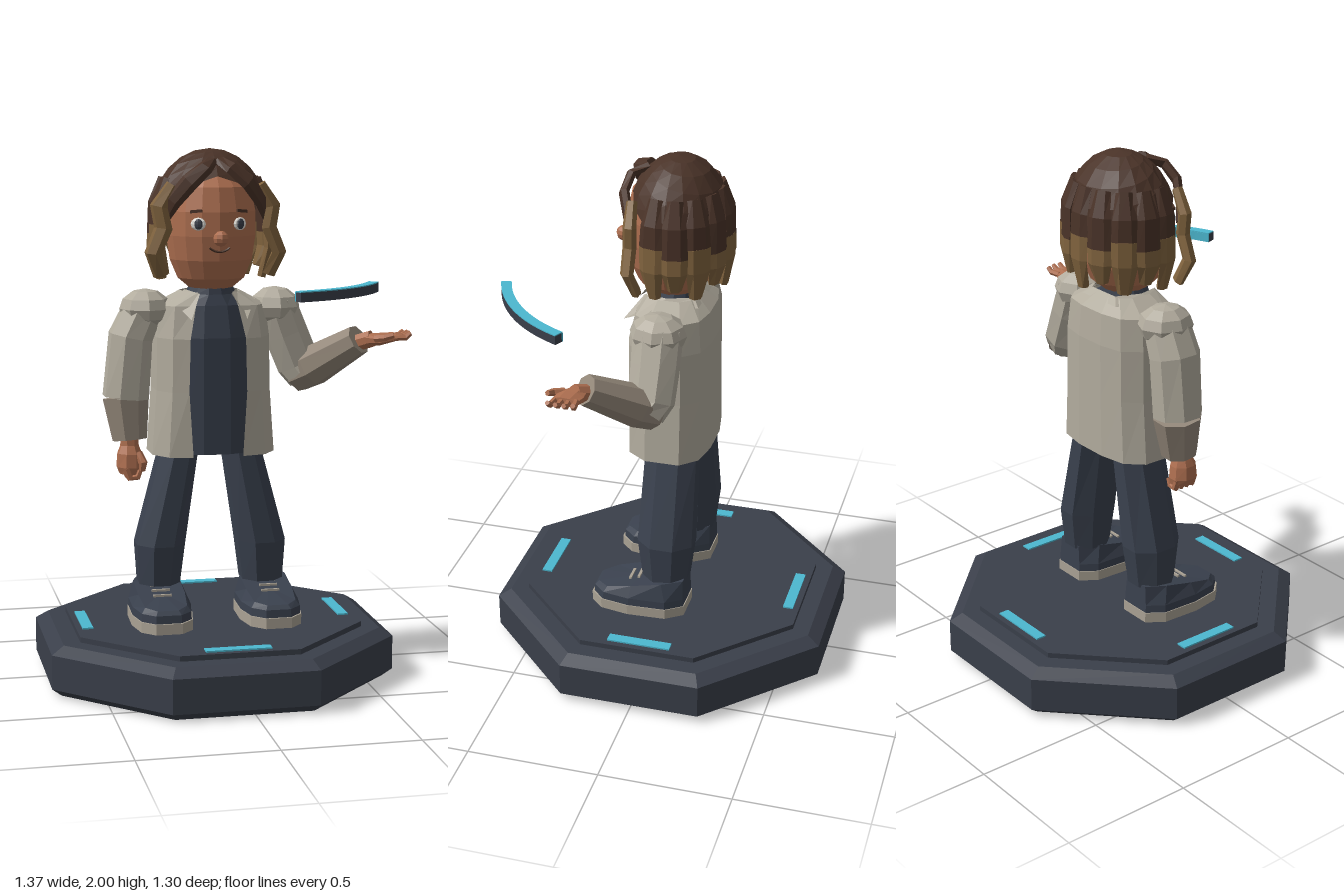
import * as THREE from 'three';

const mat = (name, color, side = THREE.FrontSide) => {
  const m = new THREE.MeshStandardMaterial({ color, side });
  m.name = name;
  return m;
};
const M = {
  skin: mat('skin', 0xae6f50),
  hair: mat('darkHair', 0x4a3328, THREE.DoubleSide),
  tips: mat('hairTips', 0x80633e, THREE.DoubleSide),
  coat: mat('coatCloth', 0xb2ac9e, THREE.DoubleSide),
  sleeve: mat('sleeveCloth', 0x94887a),
  navy: mat('navyCloth', 0x3a414e),
  slate: mat('slate', 0x3a3f4a),
  cyan: mat('cyanLight', 0x4cb8d0),
  sole: mat('soleRubber', 0xaaa294),
  white: mat('eyeWhite', 0xe4e2dc),
};
const V = (x, y, z) => new THREE.Vector3(x, y, z);

// Faceted surface through rings of points (counter-clockwise about the loft direction)
function loft(rings, closed = true) {
  const pos = [];
  const tri = (...p) => p.forEach(q => pos.push(q.x, q.y, q.z));
  const n = rings[0].length;
  for (let i = 0; i < rings.length - 1; i++) {
    for (let j = 0; j < (closed ? n : n - 1); j++) {
      const k = (j + 1) % n, A = rings[i], B = rings[i + 1];
      tri(A[j], A[k], B[k]);
      tri(A[j], B[k], B[j]);
    }
  }
  if (closed) {
    [rings[0], rings[rings.length - 1]].forEach((r, e) => {
      const c = r.reduce((s, p) => s.add(p), V(0, 0, 0)).divideScalar(n);
      r.forEach((p, j) => { const q = r[(j + 1) % n]; e ? tri(c, p, q) : tri(c, q, p); });
    });
  }
  const g = new THREE.BufferGeometry();
  g.setAttribute('position', new THREE.Float32BufferAttribute(pos, 3));
  return g;
}

// Horizontal elliptical ring
const ringY = (x, y, z, a, b, n = 8) => Array.from({ length: n }, (_, i) => {
  const t = (i + 0.5) / n * Math.PI * 2;
  return V(x + a * Math.cos(t), y, z - b * Math.sin(t));
});

// Tube along points [x, y, z, a, b]; a is the radius along ref, b across it
function limb(pts, sides = 8, ref = V(0, 0, 1)) {
  const P = pts.map(p => V(p[0], p[1], p[2]));
  return loft(P.map((p, i) => {
    const t = P[Math.min(i + 1, P.length - 1)].clone().sub(P[Math.max(i - 1, 0)]).normalize();
    const u = ref.clone().addScaledVector(t, -ref.dot(t)).normalize();
    const v = t.clone().cross(u);
    const a = pts[i][3], b = pts[i][4] ?? a;
    return Array.from({ length: sides }, (_, j) => {
      const w = (j + 0.5) / sides * Math.PI * 2;
      return p.clone().addScaledVector(u, a * Math.cos(w)).addScaledVector(v, b * Math.sin(w));
    });
  }));
}

// Flat ring sector lying level, with its top at y
function sector(r0, r1, a0, a1, y, h) {
  const s = new THREE.Shape();
  s.absarc(0, 0, r1, a0, a1, false);
  s.absarc(0, 0, r0, a1, a0, true);
  return new THREE.ExtrudeGeometry(s, { depth: h, bevelEnabled: false, curveSegments: 12 })
    .rotateX(Math.PI / 2).translate(0, y, 0);
}

export function createModel() {
  const root = new THREE.Group();
  const body = new THREE.Group();
  body.name = 'figureOnBase';
  body.position.x = -0.0375;
  root.add(body);
  const add = (name, geo, material) => {
    const g = geo.index ? geo.toNonIndexed() : geo;
    g.computeVertexNormals();
    const m = new THREE.Mesh(g, material);
    m.name = name;
    body.add(m);
    return m;
  };
  const ball = (x, y, z, rx, ry, rz, w = 8, h = 6) =>
    new THREE.SphereGeometry(1, w, h).scale(rx, ry, rz).translate(x, y, z);

  // Octagonal base with raised plate and light strips
  const oct = (y, ap) => ringY(0, y, 0, ap / Math.cos(Math.PI / 8), ap / Math.cos(Math.PI / 8));
  add('base', loft([oct(0, 0.615), oct(0.03, 0.652), oct(0.16, 0.652), oct(0.19, 0.605)]), M.slate);
  add('basePlate', loft([oct(0.188, 0.54), oct(0.21, 0.54)]), M.slate);
  for (let i = 0; i < 4; i++) {
    add('baseLight', new THREE.BoxGeometry(0.245, 0.008, 0.04).translate(0, 0.212, 0.497).rotateY(i * Math.PI / 2), M.cyan);
  }

  // Floating curved panel
  const a0 = 25 * Math.PI / 180, a1 = 72 * Math.PI / 180;
  add('panel', sector(0.605, 0.638, a0, a1, 1.511, 0.033), M.slate);
  add('panelTopLight', sector(0.6, 0.638, a0, a1, 1.515, 0.004), M.cyan);
  add('panelInnerLight', sector(0.599, 0.605, a0, a1, 1.511, 0.033), M.cyan);

  // Shoes and trouser legs
  const outline = half => [...half, ...half.slice().reverse().map(([x, y, z]) => [-x, y, z])];
  const foot = [[0.05, 0.26], [0.098, 0.21], [0.117, 0.1], [0.11, -0.05], [0.065, -0.115]];
  const top = [[0.04, 0.295, 0.235], [0.08, 0.3, 0.19], [0.09, 0.325, 0.09], [0.09, 0.352, -0.03], [0.055, 0.358, -0.108]];
  for (const s of [-1, 1]) {
    const ring = half => outline(half).map(([x, y, z]) => V(x + s * 0.21, y, z));
    const level = (y, k) => ring(foot.map(([x, z]) => [x * k, y, z * k]));
    add('sole', loft([level(0.208, 1), level(0.25, 1)]), M.sole);
    add('shoe', loft([level(0.25, 0.97), level(0.28, 0.96), ring(top)]), M.navy);
    for (const [y, z] of [[0.345, 0.04], [0.334, 0.075], [0.322, 0.11]]) {
      add('lace', new THREE.BoxGeometry(0.07, 0.008, 0.01).translate(s * 0.21, y, z), M.sole);
    }
    add('trouserLeg', loft([
      ringY(s * 0.202, 0.345, -0.027, 0.085, 0.095), ringY(s * 0.197, 0.5, -0.027, 0.1, 0.116),
      ringY(s * 0.125, 0.85, -0.03, 0.078, 0.108), ringY(s * 0.11, 0.98, -0.03, 0.08, 0.11)]), M.navy);
  }
  add('hips', loft([ringY(0, 0.87, -0.02, 0.17, 0.1), ringY(0, 1, -0.02, 0.18, 0.11)]), M.navy);

  // Shirt and high collar
  add('shirt', loft([
    ringY(0, 0.86, -0.01, 0.2, 0.14, 12), ringY(0, 1.3, -0.01, 0.195, 0.14, 12),
    ringY(0, 1.42, -0.01, 0.165, 0.115, 12), ringY(0, 1.46, 0, 0.095, 0.09, 12), ringY(0, 1.485, 0, 0.085, 0.085, 12)]), M.navy);

  // Open coat: [y, half width, front z, back z, half opening]
  const coat = [
    [0.855, 0.235, 0.145, -0.165, 0.095], [1.1, 0.218, 0.145, -0.165, 0.11], [1.3, 0.215, 0.145, -0.165, 0.105],
    [1.42, 0.2, 0.12, -0.155, 0.08], [1.47, 0.11, 0.088, -0.1, 0.065]];
  add('coat', loft(coat.map(([y, w, f, b, o]) => outline([
    [o, y, f], [Math.max(o, w * 0.78), y, f * 0.86], [w, y, f * 0.35], [w, y, b * 0.5], [w * 0.75, y, b * 0.88], [w * 0.3, y, b],
  ]).map(p => V(...p))), false), M.coat);
  const lower = [[0.105, 1.375, 0.165], [0.16, 1.44, 0.05], [0.1, 1.45, -0.12]];
  const upper = [[0.06, 1.465, 0.095], [0.1, 1.475, 0], [0.065, 1.475, -0.095]];
  add('coatCollar', loft([lower, upper].map(h => outline(h).map(p => V(...p))), false), M.coat);

  // Sleeves
  for (const s of [-1, 1]) add('shoulder', ball(s * 0.25, 1.405, -0.01, 0.098, 0.075, 0.108, 8, 6), M.coat);
  add('rightUpperSleeve', limb([
    [-0.25, 1.42, -0.01, 0.09, 0.075], [-0.306, 1.3, -0.01, 0.1, 0.085], [-0.326, 1.07, -0.01, 0.095, 0.09]]), M.coat);
  add('rightForearmSleeve', limb([
    [-0.326, 1.07, -0.01, 0.095, 0.09], [-0.315, 0.91, 0.01, 0.07, 0.067]]), M.sleeve);
  add('leftUpperSleeve', limb([
    [0.25, 1.42, -0.01, 0.095, 0.08], [0.295, 1.3, -0.012, 0.092, 0.085], [0.345, 1.18, -0.01, 0.088, 0.085],
    [0.37, 1.145, 0.01, 0.08, 0.08]]), M.coat);
  add('leftForearmSleeve', limb([
    [0.34, 1.14, -0.02, 0.075], [0.39, 1.175, 0.035, 0.08], [0.53, 1.29, 0.18, 0.058]], 8, V(0, 1, 0)), M.sleeve);

  // Right hand, hanging and half closed
  add('rightHand', limb([
    [-0.318, 0.93, 0.02, 0.035], [-0.318, 0.89, 0.022, 0.036], [-0.318, 0.86, 0.025, 0.05, 0.048],
    [-0.32, 0.81, 0.025, 0.056, 0.05], [-0.32, 0.785, 0.025, 0.05, 0.04]]), M.skin);
  add('rightThumb', limb([[-0.29, 0.865, 0.055, 0.016], [-0.275, 0.83, 0.075, 0.017], [-0.278, 0.8, 0.07, 0.012]], 6), M.skin);
  for (let i = 0; i < 4; i++) {
    const z = -0.013 + i * 0.026;
    add('rightFinger', limb([[-0.335, 0.81, z, 0.014], [-0.322, 0.772, z, 0.014], [-0.295, 0.775, z, 0.013], [-0.285, 0.8, z, 0.01]], 6), M.skin);
  }

  // Left hand, open with the palm up
  const up = V(0, 1, 0);
  add('leftWrist', limb([[0.5, 1.265, 0.15, 0.034], [0.575, 1.295, 0.205, 0.033]], 8, up), M.skin);
  add('leftPalm', limb([
    [0.555, 1.29, 0.195, 0.025, 0.035], [0.6, 1.293, 0.21, 0.023, 0.055], [0.66, 1.302, 0.215, 0.016, 0.05]], 8, up), M.skin);
  for (let i = 0; i < 4; i++) {
    const k = i - 1.5, tip = 0.72 - 0.008 * Math.abs(k);
    add('leftFinger', limb([
      [0.645, 1.301, 0.214 + k * 0.025, 0.012], [0.69, 1.302, 0.214 + k * 0.029, 0.012], [tip, 1.318, 0.214 + k * 0.031, 0.009]], 6, up), M.skin);
  }
  add('leftThumb', limb([[0.58, 1.298, 0.24, 0.016], [0.605, 1.305, 0.275, 0.014], [0.635, 1.315, 0.285, 0.01]], 6, up), M.skin);

  // Neck, head and face
  add('neck', loft([ringY(0, 1.44, 0, 0.075, 0.075), ringY(0, 1.53, 0, 0.075, 0.075)]), M.skin);
  const profile = [[0, 1.47], [0.075, 1.476], [0.127, 1.52], [0.157, 1.59], [0.17, 1.68], [0.17, 1.77], [0.15, 1.86], [0.1, 1.92], [0, 1.945]];
  add('head', new THREE.LatheGeometry(profile.map(p => new THREE.Vector2(...p)), 16).scale(1, 1, 1.03), M.skin);
  add('nose', ball(0, 1.675, 0.19, 0.029, 0.029, 0.03), M.skin);
  for (const s of [-1, 1]) {
    add('eye', ball(0, 0, 0, 0.029, 0.024, 0.012, 10, 6).rotateY(s * 0.45).translate(s * 0.078, 1.727, 0.156), M.white);
    add('iris', ball(0, 0, 0, 0.016, 0.02, 0.008, 8, 6).rotateY(s * 0.4).translate(s * 0.079, 1.727, 0.165), M.slate);
    add('eyebrow', new THREE.BoxGeometry(0.045, 0.011, 0.009).rotateZ(-s * 0.1).rotateY(s * 0.45).translate(s * 0.086, 1.774, 0.156), M.hair);
  }
  add('mouth', new THREE.TorusGeometry(0.055, 0.004, 4, 8, 1.5).rotateZ(-Math.PI / 2 - 0.75).translate(0, 1.68, 0.168), M.hair);

  // Hair cap, with its hem dropping from the forehead to the nape
  const capRings = [];
  for (let k = 6; k >= 0; k--) {
    capRings.push(Array.from({ length: 16 }, (_, j) => {
      const az = j / 16 * Math.PI * 2;
      const hem = 1.9 - 0.24 * Math.pow((1 - Math.cos(az)) / 2, 0.7);
      const th = Math.acos((hem - 1.74) / 0.26) * k / 6;
      return V(0.226 * Math.sin(th) * Math.sin(az), 1.74 + 0.26 * Math.cos(th), -0.02 + 0.193 * Math.sin(th) * Math.cos(az));
    }));
  }
  capRings.forEach(r => r.push(r[0].clone()));
  add('hairCap', loft(capRings, false), M.hair);

  // Back and side locks, dark above and lighter at the ends
  for (let i = 0; i < 9; i++) {
    const az = (76 + i * 26) * Math.PI / 180, sx = Math.sin(az), sz = Math.cos(az);
    const drop = i % 2 ? 0.035 : 0;
    const at = (y, r, b) => [0.212 * r * sx, y, -0.02 + 0.182 * r * sz, 0.018, b];
    const out = V(sx, 0, sz), mid = at(1.72 - drop, 1.04, 0.05);
    add('lockTop', limb([at(1.89, 0.84, 0.03), at(1.8, 1.02, 0.045), mid], 6, out), M.hair);
    add('lockEnd', limb([mid, at(1.63, 1.05, 0.048), at(1.52 + drop, 0.93, 0.026)], 6, out), M.tips);
  }

  // Parted fringe and wavy front locks
  for (const s of [-1, 1]) {
    const out = V(s * 0.5, 0.2, 1);
    add('fringe', limb([
      [s * 0.015, 1.955, 0.09, 0.016, 0.025], [s * 0.05, 1.93, 0.145, 0.018, 0.03], [s * 0.11, 1.88, 0.155, 0.018, 0.035],
      [s * 0.165, 1.81, 0.125, 0.016, 0.032], [s * 0.19, 1.75, 0.1, 0.012, 0.02]], 6, out), M.hair);
    add('frontLock', limb([
      [s * 0.165, 1.87, 0.11, 0.02, 0.025], [s * 0.215, 1.79, 0.105, 0.025, 0.036], [s * 0.2, 1.71, 0.11, 0.025, 0.036],
      [s * 0.238, 1.62, 0.11, 0.025, 0.034], [s * 0.205, 1.535, 0.085, 0.02, 0.03]], 6, out), M.tips);
  }
  return root;
}
